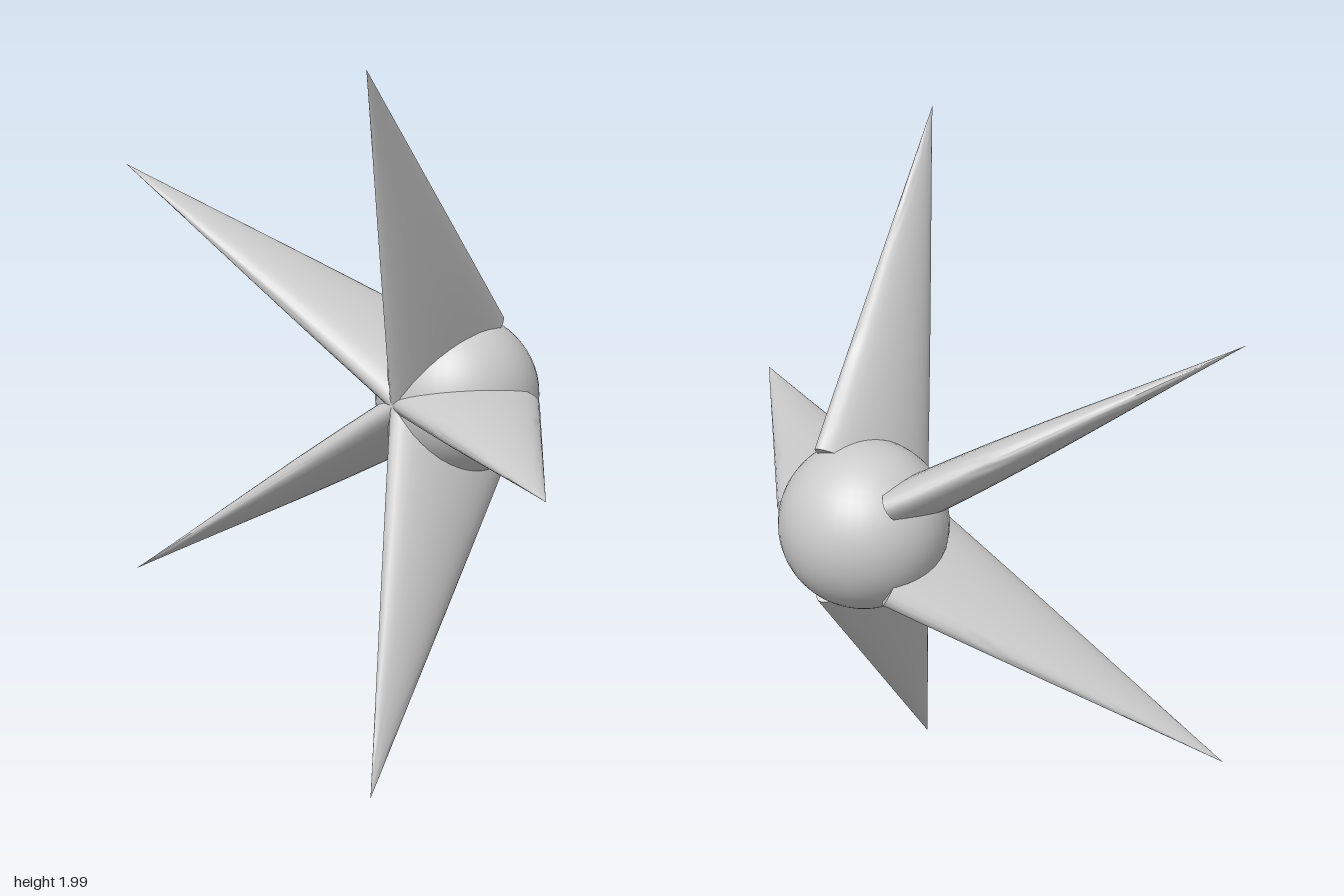
import * as THREE from 'three';
import { toCreasedNormals } from 'three/addons/utils/BufferGeometryUtils.js';

// Flattened spike in its own frame: x points outward, y across, z forward.
function spikeGeometry() {
  const tip = new THREE.Vector2(1.045, 0.395); // (outward, z)
  const front = new THREE.Vector2(0, 0.07);    // base end at the front of the ball
  const back = new THREE.Vector2(0.24, -0.27); // base end at the back of the ball
  const centre = front.clone().add(back).multiplyScalar(0.5);
  const half = back.clone().sub(front).multiplyScalar(0.5);
  const geo = new THREE.ConeGeometry(1, 1, 32, 14);
  const p = geo.attributes.position;
  for (let i = 0; i < p.count; i++) {
    const t = p.getY(i) + 0.5;
    const side = p.getX(i), along = p.getZ(i);
    const bulge = 1 + 0.2 * Math.sin(Math.PI * t);
    p.setXYZ(
      i,
      THREE.MathUtils.lerp(centre.x, tip.x, t) + along * half.x,
      side * 0.063 * bulge,
      THREE.MathUtils.lerp(centre.y, tip.y, t) + along * half.y
    );
  }
  return toCreasedNormals(geo, Math.PI / 4);
}

export function createModel() {
  const group = new THREE.Group();
  const material = new THREE.MeshStandardMaterial({ color: 0xcccccc });

  // Central ball
  const ball = new THREE.Mesh(new THREE.SphereGeometry(0.235, 40, 28), material);
  ball.name = 'ball';
  ball.position.z = -0.165;
  group.add(ball);

  // Five spikes around the front-to-back axis, swept forward
  const geo = spikeGeometry();
  for (let k = 0; k < 5; k++) {
    const spike = new THREE.Mesh(geo, material);
    spike.name = 'spike' + (k + 1);
    spike.rotation.z = (k * 2 * Math.PI) / 5;
    group.add(spike);
  }

  group.position.set(-0.105, 1, 0);
  const model = new THREE.Group();
  model.name = 'spikedBall';
  model.add(group);
  return model;
}
